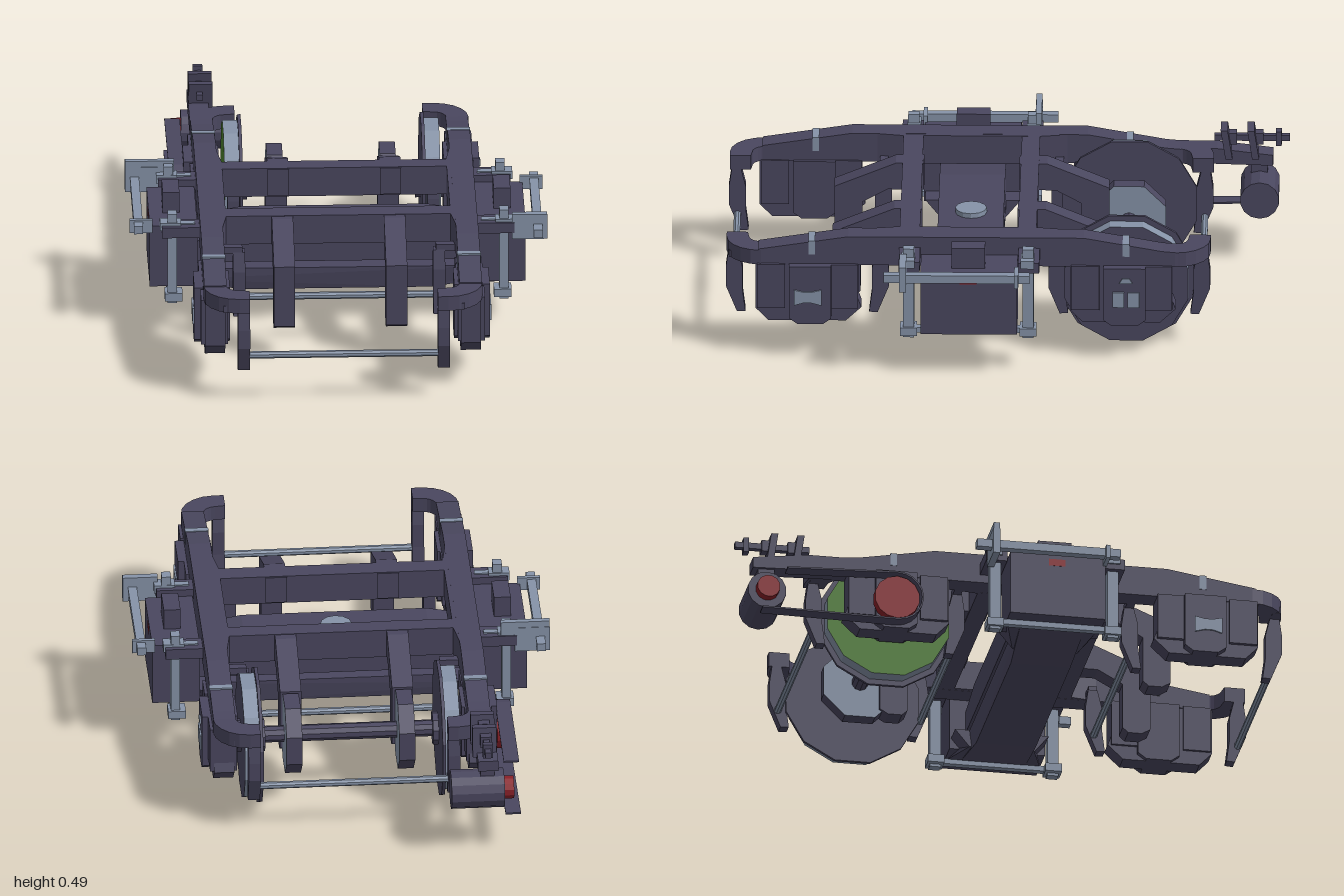
import * as THREE from 'three';

const mat = (name, color) => {
  const m = new THREE.MeshStandardMaterial({ color });
  m.name = name;
  return m;
};

export function createModel() {
  const dark = mat('dark steel', 0x4a475f);
  const light = mat('light steel', 0x8693a8);
  const green = mat('green wheel face', 0x4a7d2a);
  const red = mat('red pulley', 0x8a2028);

  const root = new THREE.Group();
  root.name = 'railBogie';

  const add = (name, geo, m, parent = root) => {
    const g = geo.index ? geo.toNonIndexed() : geo;
    g.computeVertexNormals();
    const mesh = new THREE.Mesh(g, m);
    mesh.name = name;
    parent.add(mesh);
    return mesh;
  };
  // Box given by its limits
  const box = (name, x0, x1, y0, y1, z0, z1, m = dark, parent = root) =>
    add(name, new THREE.BoxGeometry(x1 - x0, y1 - y0, z1 - z0)
      .translate((x0 + x1) / 2, (y0 + y1) / 2, (z0 + z1) / 2), m, parent);
  // Cylinder along x
  const rodX = (name, x0, x1, y, z, r, sides, m) =>
    add(name, new THREE.CylinderGeometry(r, r, x1 - x0, sides, 1, false, Math.PI / sides)
      .rotateZ(Math.PI / 2).translate((x0 + x1) / 2, y, z), m);
  const shapeOf = pts => new THREE.Shape(pts.map(p => new THREE.Vector2(p[0], p[1])));
  // Side profile of (z, y) points, extruded from x0 to x1
  const side = (name, pts, x0, x1, m = dark) =>
    add(name, new THREE.ExtrudeGeometry(shapeOf(pts), { depth: x1 - x0, bevelEnabled: false })
      .rotateY(-Math.PI / 2).translate(x1, 0, 0), m);
  // Plan outline of (x, z) points, hanging down from the height top
  const plan = (name, pts, top, depth) =>
    add(name, new THREE.ExtrudeGeometry(shapeOf(pts), { depth, bevelEnabled: false })
      .rotateX(Math.PI / 2).translate(0, top, 0), dark);
  // Limits in x for the side s
  const span = (s, a, b) => (s > 0 ? [a, b] : [-b, -a]);

  const FRONT = 0.69, REAR = -0.43, MID = 0.13, AXLE_Y = 0.24;

  // Side frames with rounded, inward turned ends
  const frameProfile = [[0.88, 0.355], [0.88, 0.415], [0.56, 0.465], [-0.28, 0.465],
    [-0.56, 0.415], [-0.62, 0.41], [-0.62, 0.355]];
  const corner = (name, s, zEnd, dir) => {
    const outer = 0.125, inner = 0.045, n = 5;
    const cx = 0.372, cz = zEnd - dir * outer;
    const arc = r => Array.from({ length: n + 1 }, (_, i) => {
      const a = (i / n) * Math.PI / 2;
      return [s * (cx + r * Math.cos(a)), cz + dir * r * Math.sin(a)];
    });
    plan(name, [...arc(outer), [s * 0.335, zEnd], [s * 0.335, zEnd - dir * 0.075], ...arc(inner).reverse()], 0.411, 0.055);
  };
  for (const s of [-1, 1]) {
    side('sideFrame', frameProfile, ...span(s, 0.415, 0.495));
    plan('frameWeb', [[0.42, 0.5], [0.4, 0.38], [0.4, -0.11], [0.42, -0.24]].map(([x, z]) => [s * x, z]), 0.4645, 0.109);
    corner('frontFrameEnd', s, 0.995, 1);
    corner('rearFrameEnd', s, -0.73, -1);
  }

  // Cross transoms
  box('frontTransom', -0.41, 0.41, 0.355, 0.464, 0.305, 0.377);
  box('rearTransom', -0.41, 0.41, 0.355, 0.464, -0.11, -0.045);

  // Bolster, pivot and spring plank, with the plank flared under the springs
  const acrossX = (name, pts, half, rule) => {
    const g = new THREE.ExtrudeGeometry(shapeOf(pts), { depth: 2 * half, bevelEnabled: false }).translate(0, 0, -half);
    const p = g.attributes.position;
    for (let i = 0; i < p.count; i++) p.setZ(i, MID + p.getZ(i) * rule(p.getY(i)));
    add(name, g, dark);
  };
  acrossX('bolster', [[-0.52, 0.23], [0.52, 0.23], [0.52, 0.31], [0.33, 0.345], [-0.33, 0.345], [-0.52, 0.31]], 0.117, () => 1);
  add('centrePivot', new THREE.CylinderGeometry(0.056, 0.056, 0.02, 12).translate(0, 0.353, MID), light);
  acrossX('springPlank', [[-0.6, 0.165], [-0.34, 0.12], [0.34, 0.12], [0.6, 0.165], [0.6, 0.205], [-0.6, 0.205]],
    0.117, y => (y < 0.15 ? 0.92 : 1));
  for (const s of [-1, 1])
    acrossX('springSeat', [[0.42, 0.14], [0.6, 0.165], [0.6, 0.205], [0.42, 0.205]].map(([x, y]) => [s * x, y]),
      0.17, y => (y < 0.15 ? 0.69 : 1));

  // Swing hangers and safety bar; the opposite side is turned half around
  for (const turn of [0, Math.PI]) {
    const g = new THREE.Group();
    g.name = turn ? 'rightSuspension' : 'leftSuspension';
    g.position.z = MID;
    g.rotation.y = turn;
    root.add(g);
    box('springHousing', 0.5, 0.67, 0.165, 0.4, -0.175, 0.17, dark, g);
    box('housingLid', 0.56, 0.62, 0.4, 0.478, -0.06, 0.06, dark, g);
    box('housingMark', 0.669, 0.671, 0.36, 0.386, -0.03, 0.03, red, g);
    for (const e of [-1, 1]) {
      const z = e * 0.213;
      box('hangerPost', 0.575, 0.608, 0.125, 0.468, z - 0.02, z + 0.02, light, g);
      box('hangerClamp', 0.49, 0.628, 0.385, 0.425, z - 0.04, z + 0.035, dark, g);
      box('hangerTopBlock', 0.56, 0.635, 0.405, 0.435, z - 0.022, z + 0.026, light, g);
      box('hangerEar', 0.51, 0.56, 0.41, 0.43, z - 0.012, z + 0.012, light, g);
      box('hangerFoot', 0.555, 0.618, 0.135, 0.165, z - 0.03, z + 0.03, light, g);
    }
    box('lowerHangerBar', 0.585, 0.61, 0.145, 0.165, -0.22, 0.22, light, g);
    box('safetyBar', 0.695, 0.727, 0.388, 0.418, -0.22, 0.3, light, g);
    box('barPlate', 0.62, 0.745, 0.36, 0.455, 0.22, 0.245, light, g);
    if (turn) box('barPlateTop', 0.57, 0.745, 0.4, 0.478, 0.222, 0.243, light, g);
    box('barBracket', 0.66, 0.742, 0.375, 0.425, -0.18, -0.165, light, g);
  }

  // Axle boxes in their yokes under the frame
  for (const c of [FRONT, REAR]) for (const s of [-1, 1]) {
    const P = pts => pts.map(([d, y]) => [c + d, y]);
    side('axleYoke', P([[-0.115, 0.36], [-0.177, 0.19], [-0.122, 0.138], [0.155, 0.138], [0.2, 0.185], [0.2, 0.36]]),
      ...span(s, 0.42, 0.492));
    for (const d of [-0.115, 0.145])
      box('yokeWing', ...span(s, 0.41, 0.506), 0.19, 0.36, c + d - 0.05, c + d + 0.05);
    side('axleBox', P([[-0.07, 0.36], [-0.07, 0.16], [-0.04, 0.138], [0.05, 0.138], [0.08, 0.16], [0.08, 0.36]]),
      ...span(s, 0.4, 0.527));
    // Front covers are waisted, rear covers come in two halves below a small cap
    const cover = (pts) => side('axleBoxCover', P(pts), ...span(s, 0.526, 0.533), light);
    if (c === FRONT) {
      cover([[-0.035, 0.212], [0, 0.222], [0.03, 0.222], [0.063, 0.212], [0.063, 0.272], [0.03, 0.264], [0, 0.264], [-0.035, 0.272]]);
    } else {
      for (const d of [-0.048, 0.006])
        cover([[d, 0.212], [d + 0.042, 0.212], [d + 0.042, 0.27], [d, 0.27]]);
      cover([[-0.024, 0.305], [0.024, 0.305], [0.012, 0.324], [-0.012, 0.324]]);
    }
    // Light strap lying over the sloping frame
    box('frameStrap', ...span(s, 0.413, 0.497), 0.395, c > 0 ? 0.449 : 0.442, c - 0.012, c + 0.012, light);
  }

  // Brake shoes, hangers and tie rods; offsets are from each axle
  for (const [c, e, shift] of [[FRONT, 1, 0], [FRONT, -1, -0.035], [REAR, 1, -0.03], [REAR, -1, -0.01]]) {
    for (const s of [-1, 1]) {
      side('brakeShoe', [[0.265, 0.36], [0.298, 0.36], [0.308, 0.29], [0.308, 0.22], [0.268, 0.12],
        [0.238, 0.122], [0.248, 0.2], [0.248, 0.29]].map(([d, y]) => [c + e * (d + shift), y]), ...span(s, 0.335, 0.378));
      const z = c + e * (0.28 + shift);
      box('shoeHanger', ...span(s, 0.345, 0.43), 0.355, 0.38, z - 0.015, z + 0.015);
    }
    rodX('brakeTieRod', -0.36, 0.36, 0.183, c + e * (0.278 + shift), 0.013, 8, light);
  }

  // Brake caliper brackets on the transoms, mirrored about the bolster
  for (const e of [-1, 1]) for (const x of [-0.2, 0.2])
    side('caliperBracket', [[0.17, 0.36], [0.17, 0.462], [0.27, 0.462], [0.49, 0.37], [0.49, 0.14],
      [0.46, 0.122], [0.41, 0.122], [0.39, 0.14], [0.39, 0.31], [0.3, 0.36]].map(([d, y]) => [MID + e * d, y]),
    x - 0.038, x + 0.038);

  // Rear wheelset
  rodX('axle', -0.51, 0.51, AXLE_Y, REAR, 0.03, 10, dark);
  for (const s of [-1, 1]) {
    rodX('wheel', ...span(s, 0.33, 0.385), AXLE_Y, REAR, 0.228, 12, [light, s < 0 ? green : dark, dark]);
    rodX('wheelFlange', ...span(s, 0.32, 0.332), AXLE_Y, REAR, 0.2485, 12, dark);
    rodX('wheelHub', ...span(s, 0.3, 0.4), AXLE_Y, REAR, 0.06, 10, dark);
    rodX('brakeDisc', ...span(s, 0.173, 0.23), AXLE_Y, REAR, 0.142, 8, [dark, light, light]);
  }

  // Generator at the rear right corner with a loose, open belt around the axle pulley
  const GZ = -0.893, GY = 0.25;
  rodX('generator', -0.52, -0.33, GY, GZ, 0.07, 14, dark);
  rodX('generatorPulley', -0.555, -0.52, GY, GZ, 0.042, 12, red);
  rodX('axlePulley', -0.565, -0.527, AXLE_Y, REAR, 0.082, 14, red);
  const beltLine = t => {
    const pts = [[-0.92, 0.153 + t]];
    for (let i = 0; i <= 10; i++) {
      const a = -Math.PI / 2 + (i / 10) * Math.PI;
      pts.push([REAR + (0.094 - t) * Math.cos(a), AXLE_Y + (0.094 - t) * Math.sin(a)]);
    }
    pts.push([-0.83, 0.32 - t]);
    return pts;
  };
  side('driveBelt', [...beltLine(0), ...beltLine(0.006).reverse()], -0.58, -0.525);

  // Generator carrier arm and belt tensioner
  side('carrierArm', [[-0.6, 0.355], [-0.6, 0.41], [-0.74, 0.41], [-0.94, 0.385], [-0.94, 0.345]], -0.497, -0.425);
  box('generatorHanger', -0.485, -0.435, 0.28, 0.37, -0.92, -0.86);
  box('tensionRod', -0.468, -0.446, 0.432, 0.454, -1.0, -0.73);
  for (const z of [-0.765, -0.86]) {
    side('tensionPlate', [[z - 0.03, 0.375], [z - 0.005, 0.375], [z + 0.012, 0.485], [z - 0.013, 0.485]], -0.495, -0.41);
    box('tensionNut', -0.477, -0.437, 0.422, 0.464, z - 0.045, z - 0.015);
  }
  box('tensionEnd', -0.475, -0.44, 0.415, 0.47, -0.97, -0.95);

  return root;
}
